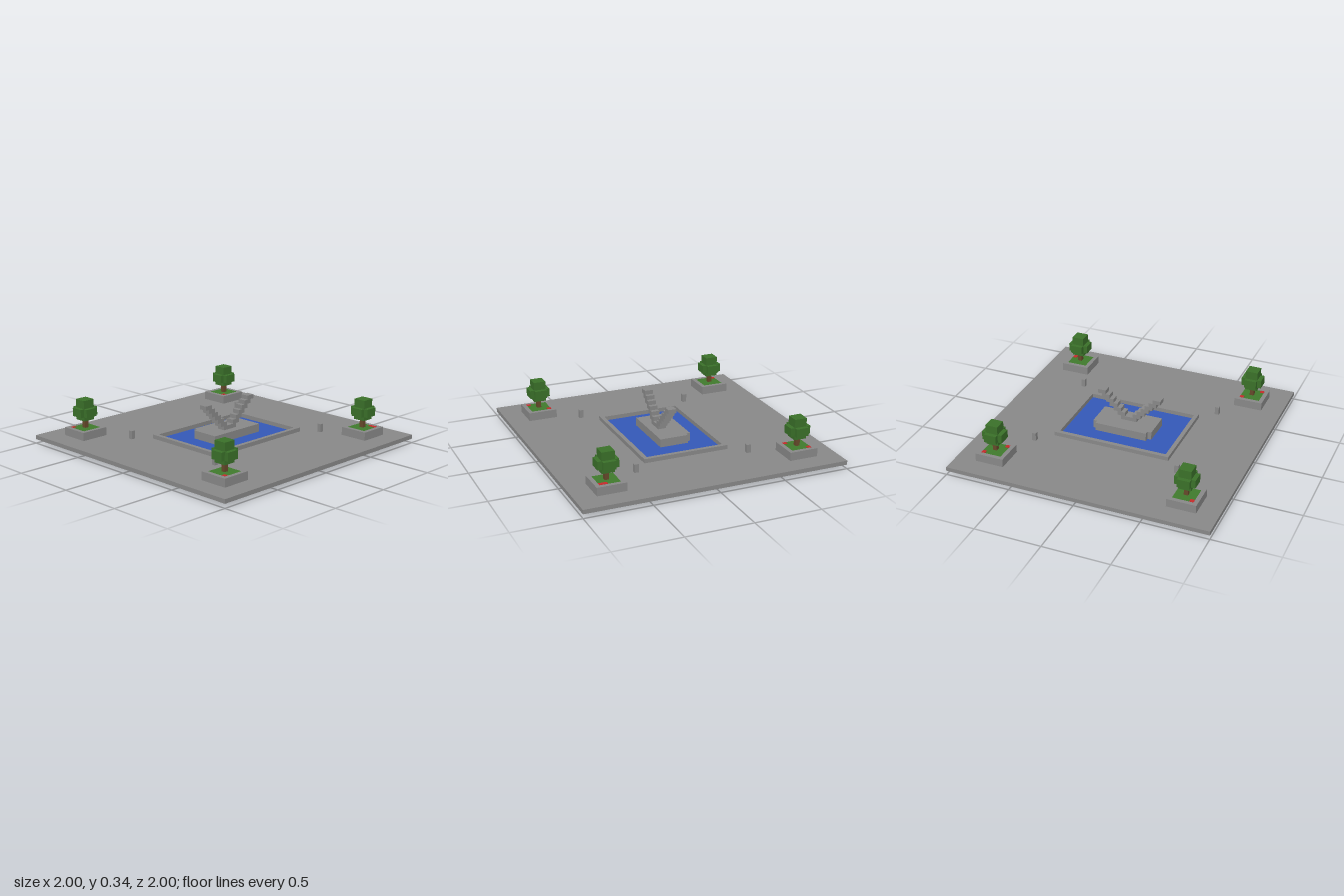
import * as THREE from 'three';

// All coordinates are in blocks; one block is 1/32 of a unit.
const U = 1 / 32;

const makeMaterial = (name, color) => {
  const m = new THREE.MeshStandardMaterial({ color });
  m.name = name;
  return m;
};

export function createModel() {
  const stone = makeMaterial('stone', 0x888888);
  const water = makeMaterial('water', 0x3458b6);
  const leaf = makeMaterial('leaf', 0x3a7029);
  const grass = makeMaterial('grass', 0x3f7a2c);
  const bark = makeMaterial('bark', 0x66492a);
  const petal = makeMaterial('petal', 0xc42a2a);

  const model = new THREE.Group();
  model.name = 'plaza';

  const add = (parent, name, geometry, material) => {
    const mesh = new THREE.Mesh(geometry, material);
    mesh.name = name;
    parent.add(mesh);
    return mesh;
  };

  // Box given by its lower and upper limits along each axis
  const block = (parent, name, material, [x0, x1], [y0, y1], [z0, z1]) => {
    const g = new THREE.BoxGeometry((x1 - x0) * U, (y1 - y0) * U, (z1 - z0) * U);
    g.translate((x0 + x1) / 2 * U, (y0 + y1) / 2 * U, (z0 + z1) / 2 * U);
    return add(parent, name, g, material);
  };

  // Upright prism from a plan outline of [x, z] points, with an optional hole
  const toPoints = (plan) => plan.map(([x, z]) => new THREE.Vector2(x * U, -z * U));
  const prism = (parent, name, material, plan, [y0, y1], hole) => {
    const shape = new THREE.Shape(toPoints(plan));
    if (hole) shape.holes.push(new THREE.Path(toPoints(hole)));
    const g = new THREE.ExtrudeGeometry(shape, { depth: (y1 - y0) * U, bevelEnabled: false });
    g.rotateX(-Math.PI / 2);
    g.translate(0, y0 * U, 0);
    return add(parent, name, g, material);
  };
  const rect = (x0, x1, z0, z1) => [[x0, z1], [x1, z1], [x1, z0], [x0, z0]];

  // Paving with an opening for the pool
  const poolOuter = rect(-14, 15, -10, 11);
  const poolInner = rect(-13, 14, -9, 10);
  prism(model, 'paving', stone, rect(-32, 32, -32, 32), [1, 2], poolOuter);

  // Pool: floor, rim and water
  const pool = new THREE.Group();
  pool.name = 'pool';
  model.add(pool);
  block(pool, 'poolFloor', stone, [-14, 15], [0, 1], [-10, 11]);
  prism(pool, 'poolRim', stone, poolOuter, [1, 3], poolInner);
  block(pool, 'poolWater', water, [-13, 14], [1, 2], [-9, 10]);

  // Pedestal in the water, its two back corners notched
  prism(model, 'pedestal', stone, [
    [-7, 4], [8, 4], [8, -3], [7, -3], [7, -4], [-6, -4], [-6, -3], [-7, -3],
  ], [2, 4]);

  // V-shaped stepped sculpture
  const sculpture = new THREE.Group();
  sculpture.name = 'sculpture';
  model.add(sculpture);
  for (let k = 0; k < 7; k++) {
    block(sculpture, 'leftStep', stone, [k, k + 2], [4 + k, 5 + k], [0, 2]);
    block(sculpture, 'rightStep', stone, [-k - 2, -k], [4 + k, 5 + k], [0, 2]);
  }

  // Four short posts around the pool
  for (const x of [-18, 18]) {
    for (const z of [-14, 14]) block(model, 'post', stone, [x, x + 1], [2, 4], [z, z + 1]);
  }

  // Planter with a tree; flowers are grass cells counted from the centre
  const planter = (cx, cz, flowers) => {
    const group = new THREE.Group();
    group.name = 'planter';
    group.position.set(cx * U, 0, cz * U);
    model.add(group);
    const span = (n) => [-n / 2, n / 2];
    prism(group, 'planterWall', stone, rect(-3.5, 3.5, -3.5, 3.5), [2, 4],
      rect(-2.5, 2.5, -2.5, 2.5));
    block(group, 'planterGrass', grass, span(5), [2, 4], span(5));
    for (const [x, z] of flowers) {
      block(group, 'flower', petal, [x - 0.5, x + 0.5], [4, 4.05], [z - 0.5, z + 0.5]);
    }
    block(group, 'trunk', bark, span(1), [4, 6], span(1));
    block(group, 'crownCore', leaf, span(3), [6, 11], span(3));
    // Four side lobes make the crown a cross in plan
    for (const s of [-1, 1]) {
      const lobe = s < 0 ? [-2.5, -1.5] : [1.5, 2.5];
      block(group, 'crownLobe', leaf, lobe, [7, 9], span(3));
      block(group, 'crownLobe', leaf, span(3), [7, 9], lobe);
    }
  };
  planter(-23.5, -23.5, [[-2, -2]]);
  planter(23.5, -23.5, [[2, -2], [-2, 2]]);
  planter(-23.5, 23.5, [[2, -2], [-2, 2]]);
  planter(23.5, 23.5, [[2, 2], [2, 1]]);

  return model;
}
